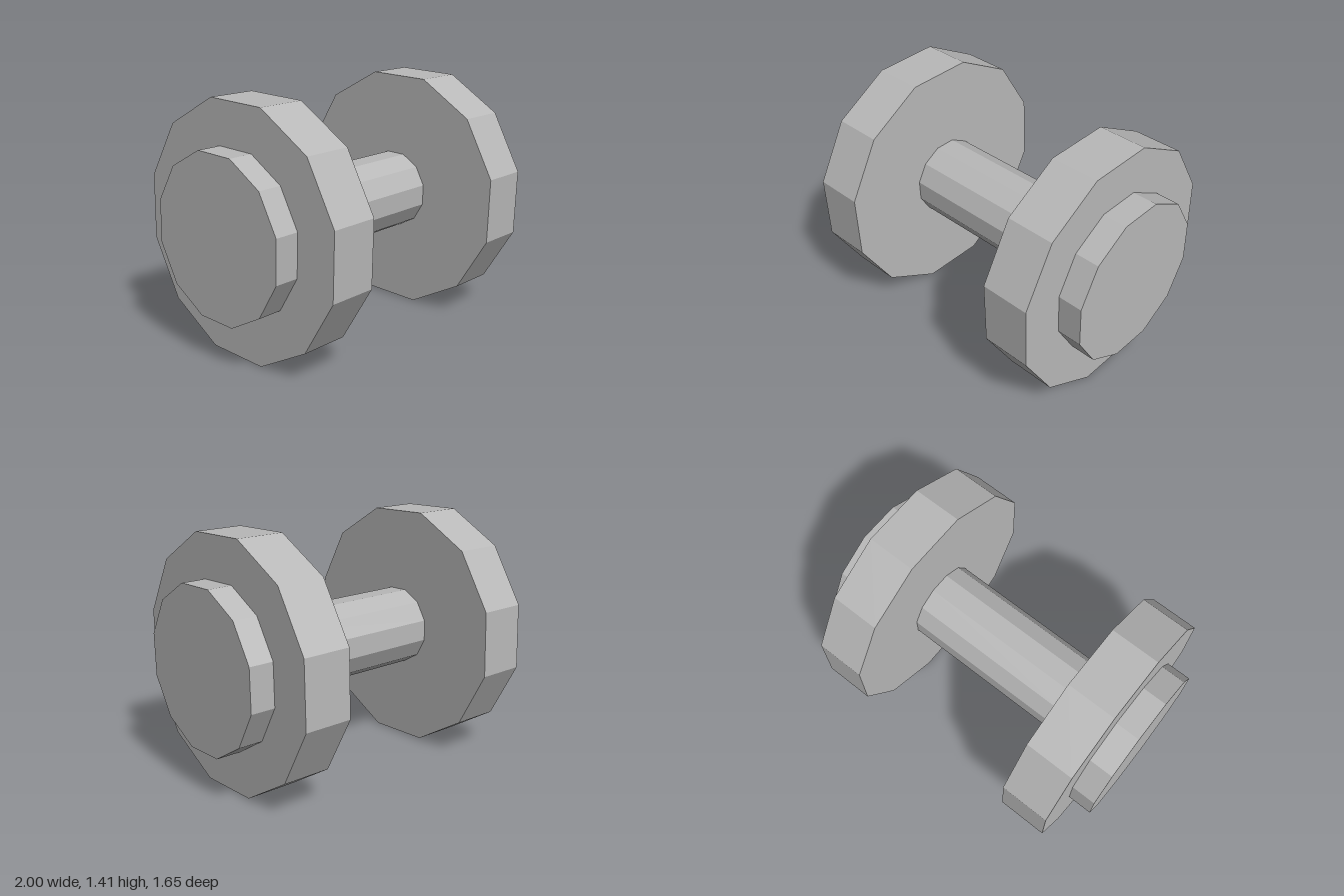
import * as THREE from 'three';

const SIDES = 12;
const FACET_TURN = THREE.MathUtils.degToRad(16.6); // roll of the facets about the bar
const YAW = THREE.MathUtils.degToRad(9.4);         // turn of the whole dumbbell

export function createModel() {
  const iron = new THREE.MeshStandardMaterial({ color: 0xb8b8b8, flatShading: true });
  iron.name = 'grey iron';

  const model = new THREE.Group();
  model.name = 'dumbbell';

  // Faceted disc or rod lying along x, from x0 to x1
  const rod = (name, radius, x0, x1) => {
    const geometry = new THREE.CylinderGeometry(
      radius, radius, x1 - x0, SIDES, 1, false, FACET_TURN, Math.PI * 2);
    geometry.rotateZ(-Math.PI / 2);
    const mesh = new THREE.Mesh(geometry, iron);
    mesh.name = name;
    mesh.position.x = (x0 + x1) / 2;
    model.add(mesh);
  };

  rod('handle', 0.231, -0.508, 0.508);

  // Weight plate and smaller end cap on each side
  rod('leftPlate', 0.725, 0.508, 0.793);
  rod('leftEndCap', 0.47, 0.793, 0.937);
  rod('rightPlate', 0.725, -0.793, -0.508);
  rod('rightEndCap', 0.47, -0.937, -0.793);

  model.rotation.y = YAW;
  model.position.y = 0.725 * Math.sin(THREE.MathUtils.degToRad(76.6));
  return model;
}
